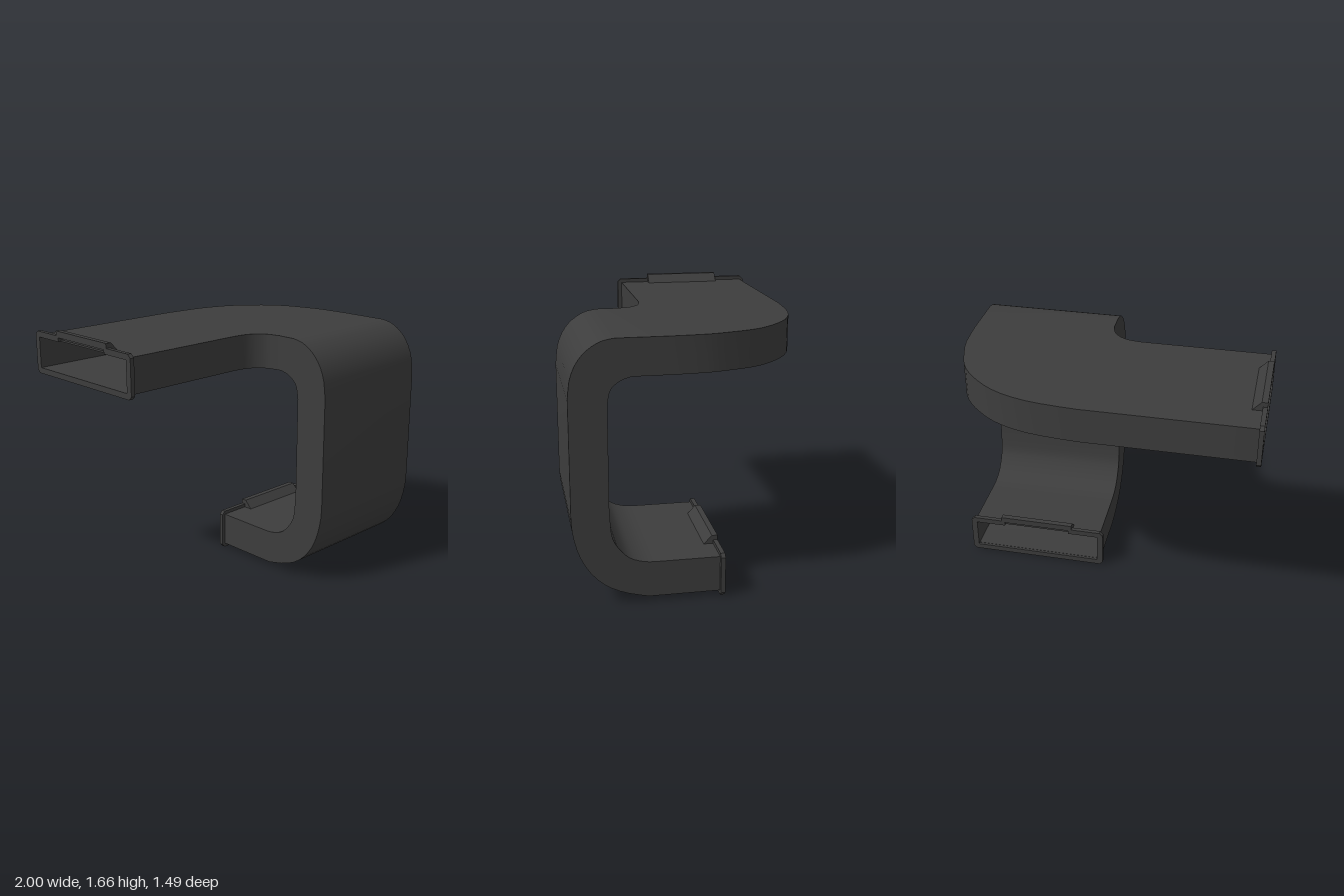
import * as THREE from 'three';
import { toCreasedNormals } from 'three/addons/utils/BufferGeometryUtils.js';

const WALL = 0.012;
const material = new THREE.MeshStandardMaterial({ color: 0x3d3d3d, side: THREE.DoubleSide });
const V = (x, y, z) => new THREE.Vector3(x, y, z);

function add(parent, geometry, name) {
  const mesh = new THREE.Mesh(geometry, material);
  mesh.name = name;
  parent.add(mesh);
  return mesh;
}

// Evenly spaced samples of a 2D spline
const spline = (pts, n) => new THREE.SplineCurve(pts.map(p => new THREE.Vector2(...p))).getPoints(n);

// Sections of the duct, each with corners: left top, right top, right bottom, left bottom
function ductSections() {
  const sections = [];
  const flat = (a, b) => sections.push([
    V(a.x, 1.61, a.y), V(b.x, 1.61, b.y), V(b.x, 1.388, b.y), V(a.x, 1.388, a.y)]);
  const upright = (o, i) => sections.push([
    V(0.97, o.y, o.x), V(0.07, o.y, o.x), V(0.07, i.y, i.x), V(0.97, i.y, i.x)]);
  const pair = (outer, inner, n, fn) => {
    const a = spline(outer, n), b = spline(inner, n);
    a.forEach((p, k) => fn(p, b[k]));
  };
  // straight start, then the flat elbow seen in plan (x, z)
  flat({ x: -0.98, y: -0.722 }, { x: -0.98, y: 0.175 });
  pair(
    [[0.07, -0.722], [0.294, -0.703], [0.47, -0.666], [0.62, -0.6], [0.73, -0.516],
      [0.813, -0.43], [0.877, -0.33], [0.925, -0.185], [0.957, -0.05], [0.97, 0.16]],
    [[-0.144, 0.175], [-0.07, 0.185], [-0.016, 0.206], [0.027, 0.243], [0.053, 0.286], [0.07, 0.36]],
    18, flat);
  // upper bend in side profile (z, y)
  pair(
    [[0.474, 1.61], [0.544, 1.598], [0.606, 1.567], [0.659, 1.523], [0.703, 1.461], [0.734, 1.377], [0.747, 1.263]],
    [[0.381, 1.388], [0.434, 1.373], [0.478, 1.346], [0.509, 1.307], [0.524, 1.23]],
    12, upright);
  // lower bend
  pair(
    [[0.747, 0.575], [0.742, 0.478], [0.716, 0.359], [0.672, 0.258], [0.606, 0.17], [0.522, 0.104], [0.412, 0.059], [0.293, 0.031]],
    [[0.524, 0.6], [0.513, 0.443], [0.487, 0.377], [0.447, 0.324], [0.399, 0.284], [0.324, 0.259], [0.258, 0.253]],
    14, upright);
  upright({ x: -0.15, y: 0.031 }, { x: -0.15, y: 0.253 });
  return sections;
}

// Hollow tube: outer ring of four corners plus an inset inner ring per section
function ductGeometry() {
  const sections = ductSections(), pos = [], idx = [];
  for (const s of sections) {
    const inner = s.map((p, k) => {
      const across = s[k ^ 1], along = s[3 - k];
      const step = q => q.clone().sub(p).normalize().multiplyScalar(WALL);
      return p.clone().add(step(across)).add(step(along));
    });
    for (const p of [...s, ...inner]) pos.push(p.x, p.y, p.z);
  }
  const quad = (a, b, c, d) => idx.push(a, b, c, a, c, d);
  const last = (sections.length - 1) * 8;
  for (let k = 0; k < 4; k++) {
    const n = (k + 1) % 4;
    for (let o = 0; o < last; o += 8) {
      quad(o + k, o + n, o + 8 + n, o + 8 + k);
      quad(o + 4 + n, o + 4 + k, o + 12 + k, o + 12 + n);
    }
    quad(k, 4 + k, 4 + n, n);
    quad(last + n, last + 4 + n, last + 4 + k, last + k);
  }
  const g = new THREE.BufferGeometry();
  g.setAttribute('position', new THREE.Float32BufferAttribute(pos, 3));
  g.setIndex(idx);
  return toCreasedNormals(g, 0.6);
}

const polygon = pts => new THREE.Shape(pts.map(p => new THREE.Vector2(...p)));

// Flange and clip housing; the opening lies at local z = 0 and faces -z
function connector(name) {
  const group = new THREE.Group();
  group.name = name;
  const w = 0.475, h = 0.136, c = 0.022;
  const rim = polygon([[-w + c, -h], [w - c, -h], [w, -h + c], [w, h - c],
    [w - c, h], [-w + c, h], [-w, h - c], [-w, -h + c]]);
  const iw = 0.4475 - WALL, ih = 0.111 - WALL;
  rim.holes.push(polygon([[-iw, -ih], [-iw, ih], [-0.23, ih], [-0.23, 0.125],
    [0.23, 0.125], [0.23, ih], [iw, ih], [iw, -ih]]));
  add(group, new THREE.ExtrudeGeometry(rim, { depth: 0.028, bevelEnabled: false }), 'flange');

  // clip housing: recessed middle with solid ends
  const clip = (profile, x, length, part) => {
    const g = new THREE.ExtrudeGeometry(polygon(profile), { depth: length, bevelEnabled: false });
    g.rotateY(-Math.PI / 2);
    add(group, g, part).position.x = x + length;
  };
  const end = [[0, 0.125], [0.028, 0.11], [0.09, 0.11], [0.036, 0.166], [0, 0.166]];
  const middle = [[0, 0.125], [0.06, 0.125], [0.07, 0.11], [0.09, 0.11], [0.036, 0.166], [0, 0.166]];
  clip(middle, -0.23, 0.46, 'clipHousing');
  for (const x of [-0.252, 0.23]) clip(end, x, 0.022, 'clipHousingEnd');
  return group;
}

export function createModel() {
  const model = new THREE.Group();
  model.name = 'ductElbow';
  add(model, ductGeometry(), 'duct');

  const upper = connector('upperConnector');
  upper.rotation.y = Math.PI / 2;
  upper.position.set(-1, 1.499, -0.2725);
  const lower = connector('lowerConnector');
  lower.position.set(0.522, 0.14, -0.167);
  model.add(upper, lower);
  return model;
}
